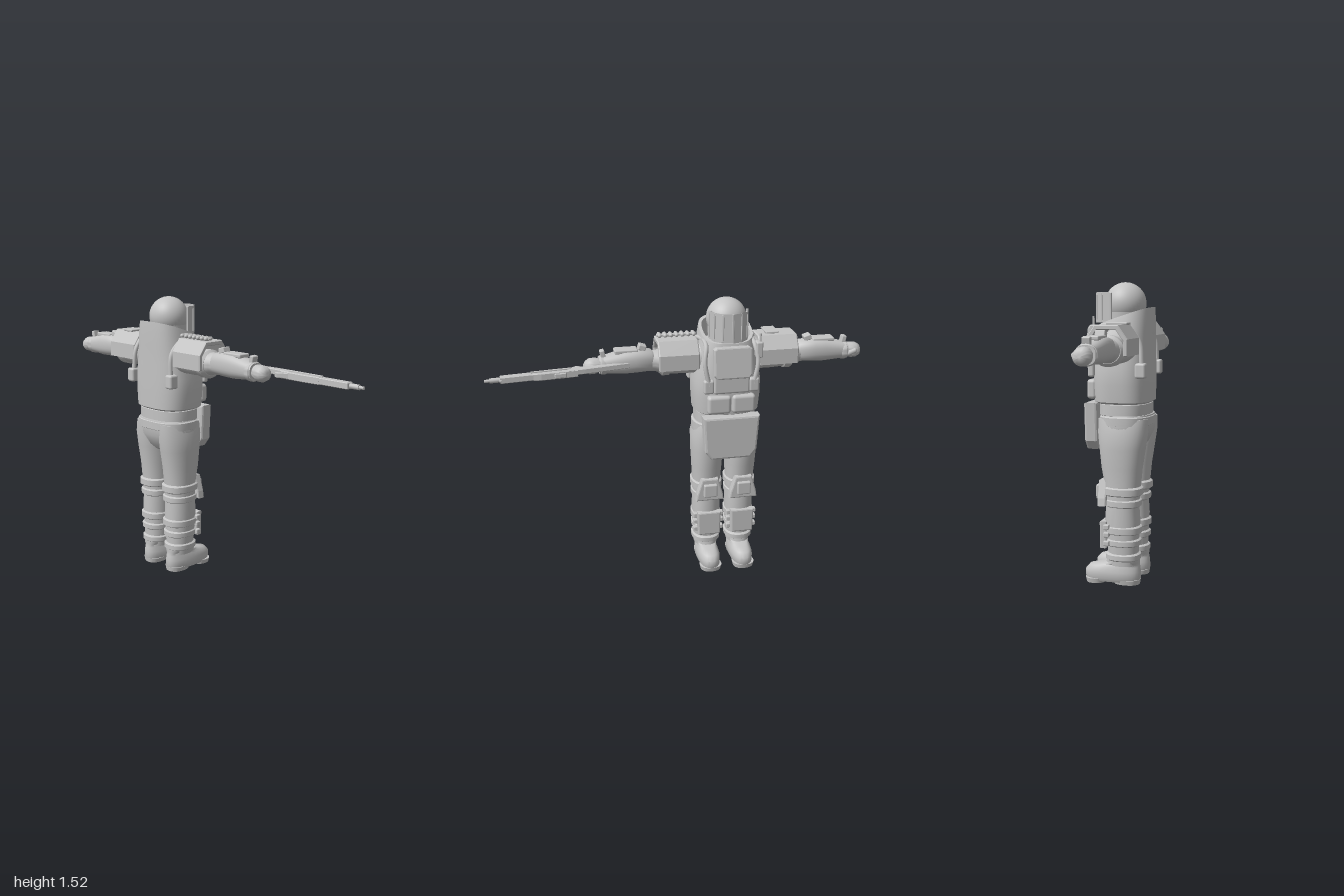
import * as THREE from 'three';
import { toCreasedNormals } from 'three/addons/utils/BufferGeometryUtils.js';
import { RoundedBoxGeometry } from 'three/addons/geometries/RoundedBoxGeometry.js';

const CZ = -0.247; // body centre line
const suit = new THREE.MeshStandardMaterial({ color: 0xc4c4c4, side: THREE.DoubleSide });
suit.name = 'suitGrey';

function add(parent, name, geo, x = 0, y = 0, z = 0, rx = 0, ry = 0, rz = 0) {
  const m = new THREE.Mesh(geo, suit);
  m.name = name;
  m.position.set(x, y, z);
  m.rotation.set(rx, ry, rz);
  parent.add(m);
  return m;
}

// Superellipse sections [y, cx, rx, rz, cz, tilt] joined upwards and capped
function loft(sections, power = 2, n = 32) {
  const pos = [], idx = [];
  for (const [y, cx, rx, rz, cz = 0, tilt = 0] of sections) {
    for (let i = 0; i < n; i++) {
      const a = (i / n) * Math.PI * 2, c = Math.cos(a), s = Math.sin(a);
      const x = cx + rx * Math.sign(c) * Math.abs(c) ** (2 / power);
      pos.push(x, y - tilt * x, cz + rz * Math.sign(s) * Math.abs(s) ** (2 / power));
    }
  }
  const rows = sections.length;
  for (let r = 0; r < rows - 1; r++) for (let i = 0; i < n; i++) {
    const a = r * n + i, b = r * n + (i + 1) % n;
    idx.push(a, a + n, b, b, a + n, b + n);
  }
  for (const r of [0, rows - 1]) {
    const [y, cx, , , cz = 0, tilt = 0] = sections[r], c = pos.length / 3;
    pos.push(cx, y - tilt * cx, cz);
    for (let i = 0; i < n; i++) {
      const a = r * n + i, b = r * n + (i + 1) % n;
      r ? idx.push(c, b, a) : idx.push(c, a, b);
    }
  }
  const g = new THREE.BufferGeometry();
  g.setAttribute('position', new THREE.Float32BufferAttribute(pos, 3));
  g.setIndex(idx);
  return toCreasedNormals(g, 0.75);
}

// Rounded padded band around a limb
const band = (y0, y1, cx, rx, rz, p = 2.3) => loft([
  [y0, cx, rx - 0.012, rz - 0.012], [y0 + 0.008, cx, rx, rz],
  [y1 - 0.008, cx, rx, rz], [y1, cx, rx - 0.012, rz - 0.012]], p);

// Flat outline with bevelled edges; facing +x
function plate(points, depth, bevel = 0.008) {
  const shape = new THREE.Shape(points.map(p => new THREE.Vector2(...p)));
  return new THREE.ExtrudeGeometry(shape, {
    depth, bevelEnabled: bevel > 0, bevelSize: bevel, bevelThickness: bevel, bevelOffset: -bevel, bevelSegments: 2,
  }).rotateY(Math.PI / 2);
}
const box = (w, h, d, r = 0.008) => new RoundedBoxGeometry(w, h, d, 2, r);
const tube = (pts, r) => new THREE.TubeGeometry(
  new THREE.CatmullRomCurve3(pts.map(p => new THREE.Vector3(...p))), 20, r, 8);

function buildLeg(side) {
  const g = new THREE.Group();
  g.name = side > 0 ? 'rightLeg' : 'leftLeg';
  g.position.z = CZ + side * 0.094;
  add(g, 'trouserLeg', loft([
    [0.1, -0.035, 0.075, 0.065], [0.2, -0.033, 0.08, 0.072], [0.33, -0.03, 0.09, 0.078], [0.4, -0.03, 0.085, 0.076],
    [0.5, -0.032, 0.09, 0.077], [0.6, -0.027, 0.105, 0.082], [0.7, -0.03, 0.118, 0.088],
    [0.78, -0.032, 0.128, 0.088], [0.85, -0.032, 0.128, 0.07]], 2.2));
  // Straps and padded rolls
  for (const [a, b, rx, rz] of [[0.125, 0.165, 0.09, 0.078], [0.2, 0.24, 0.092, 0.08],
    [0.262, 0.308, 0.096, 0.083], [0.402, 0.445, 0.094, 0.083], [0.46, 0.508, 0.102, 0.086]])
    add(g, 'legBand', band(a, b, -0.033, rx, rz));
  // Shin guard with buckles
  add(g, 'shinGuard', plate([[-0.062, 0.19], [0.062, 0.19], [0.066, 0.33], [-0.066, 0.33]], 0.022), 0.045);
  for (const y of [0.22, 0.265, 0.305]) for (const s of [-1, 1])
    add(g, 'shinBuckle', box(0.03, 0.025, 0.025, 0.005), 0.035, y, s * 0.072);
  // Knee pad
  add(g, 'kneePad', plate([[-0.078, 0.41], [0.078, 0.41], [0.072, 0.45], [0.045, 0.54], [-0.045, 0.54], [-0.072, 0.45]],
    0.03), 0.045);
  add(g, 'kneePlate', box(0.025, 0.075, 0.075), 0.089, 0.475, 0);
  // Boot
  add(g, 'boot', loft([[0.012, 0.02, 0.138, 0.054], [0.03, 0.021, 0.146, 0.063], [0.065, 0.021, 0.145, 0.063],
    [0.09, 0.012, 0.133, 0.056], [0.102, -0.01, 0.108, 0.052], [0.112, -0.032, 0.086, 0.06],
    [0.14, -0.035, 0.083, 0.064]], 2.4));
  add(g, 'heelSole', loft([[0, -0.053, 0.066, 0.052], [0.025, -0.053, 0.07, 0.058]], 2.4));
  add(g, 'toeSole', loft([[0, 0.11, 0.05, 0.056], [0.025, 0.11, 0.055, 0.062]], 2.4));
  return g;
}

function buildArm(side) {
  const g = new THREE.Group();
  g.name = side > 0 ? 'rightArm' : 'leftArm';
  g.position.set(-0.032, 1.2, -0.25);
  g.rotation.y = side > 0 ? 0 : Math.PI;
  const limb = (name, sections, p) => add(g, name, loft(sections, p).rotateX(Math.PI / 2));
  limb('upperArm', [[0.08, 0, 0.1, 0.1, -0.02], [0.16, 0, 0.09, 0.085, -0.015], [0.24, 0, 0.08, 0.07],
    [0.34, 0, 0.075, 0.065], [0.38, 0, 0.055, 0.055, -0.005], [0.42, 0, 0.053, 0.053, -0.005]]);
  limb('sleeveRoll', [[0.3, 0, 0.07, 0.06], [0.31, 0, 0.082, 0.075], [0.345, 0, 0.082, 0.075], [0.36, 0, 0.068, 0.06]]);
  limb('forearm', [[0.385, 0, 0.045, 0.045, -0.01], [0.4, 0, 0.055, 0.056, -0.012], [0.48, 0, 0.06, 0.063, -0.014],
    [0.54, 0, 0.062, 0.062, -0.012], [0.64, 0, 0.05, 0.046, -0.003], [0.67, 0, 0.048, 0.044]], 2.5);
  limb('cuff', [[0.63, 0, 0.05, 0.045], [0.64, 0, 0.055, 0.05], [0.66, 0, 0.055, 0.05], [0.67, 0, 0.045, 0.04]]);
  // Gloved fist
  limb('hand', [[0.64, 0, 0.033, 0.03], [0.67, 0, 0.036, 0.036], [0.695, 0, 0.044, 0.042, 0.003],
    [0.72, 0, 0.043, 0.041, 0.004], [0.74, 0, 0.033, 0.03, 0.005], [0.75, 0, 0.012, 0.012, 0.005]]);
  add(g, 'thumb', new THREE.CapsuleGeometry(0.014, 0.035, 4, 10), side * 0.038, -0.005, 0.69, 1.2);
  // Shoulder guard: faceted arch over the upper arm
  const o = [[-0.1, -0.02], [-0.1, 0.055], [-0.055, 0.118], [0.055, 0.118], [0.1, 0.055], [0.1, -0.02]];
  const inner = o.map(([x, y]) => [x * 0.86, y > 0 ? y * 0.87 : y]).reverse();
  const arch = new THREE.Shape([...o, ...inner].map(p => new THREE.Vector2(...p)));
  add(g, 'shoulderGuard', new THREE.ExtrudeGeometry(arch, {
    depth: 0.2, bevelEnabled: true, bevelSize: 0.004, bevelThickness: 0.006, bevelSegments: 1 }), 0, 0, 0.165);
  // Elbow and wrist fittings
  add(g, 'elbowTab', box(0.05, 0.03, 0.04, 0.006), 0, 0.083, 0.445, -0.3);
  add(g, 'forearmPlate', box(0.07, 0.02, 0.12, 0.006), 0, 0.07, 0.53);
  add(g, 'wristUnit', box(0.04, 0.04, 0.025, 0.005), 0, 0.06, 0.65, 0.2);
  return g;
}

function buildRifle() {
  const g = new THREE.Group();
  g.name = 'rifle';
  g.position.set(0.045, 1.195, 0.62);
  g.rotation.set(0.02, 0.05, 0);
  const flat = (name, pts, h, y = 0) => add(g, name, new THREE.ExtrudeGeometry(
    new THREE.Shape(pts.map(p => new THREE.Vector2(...p))), {
      depth: h, bevelEnabled: true, bevelSize: 0.003, bevelThickness: 0.003, bevelSegments: 1,
    }).rotateX(Math.PI / 2), 0, y + h / 2, 0);
  flat('stock', [[-0.012, -0.35], [0.002, -0.35], [0.022, -0.12], [0.025, -0.04], [-0.02, -0.04], [-0.012, -0.15]], 0.022, 0.006);
  flat('receiver', [[-0.024, -0.08], [0.025, -0.08], [0.027, 0.1], [0.018, 0.14], [-0.018, 0.14], [-0.024, 0.06]], 0.03);
  flat('handguard', [[-0.018, 0.12], [0.018, 0.12], [0.02, 0.3], [-0.014, 0.3]], 0.026);
  flat('grip', [[-0.022, -0.07], [-0.045, -0.1], [-0.052, -0.085], [-0.022, -0.03]], 0.02);
  flat('magazine', [[0.02, -0.03], [0.035, -0.02], [0.034, 0.03], [0.02, 0.035]], 0.018);
  add(g, 'barrel', new THREE.CylinderGeometry(0.008, 0.008, 0.14, 12), 0.004, 0, 0.31, Math.PI / 2);
  add(g, 'muzzle', new THREE.CylinderGeometry(0.013, 0.013, 0.05, 12), 0.004, 0, 0.33, Math.PI / 2);
  add(g, 'sightRail', box(0.01, 0.012, 0.2, 0.003), 0, 0.019, 0.05);
  add(g, 'frontSight', box(0.025, 0.01, 0.012, 0.003), 0.022, 0, 0.3);
  return g;
}

export function createModel() {
  const model = new THREE.Group();
  model.name = 'armouredTrooper';

  // Torso with raised collar, sloping down towards the front
  add(model, 'torso', loft([
    [0.925, -0.02, 0.13, 0.16], [0.935, -0.02, 0.145, 0.175], [1.02, -0.018, 0.148, 0.182], [1.1, -0.018, 0.148, 0.182],
    [1.18, -0.022, 0.143, 0.168], [1.26, -0.025, 0.14, 0.155, 0, 0.1], [1.31, -0.028, 0.138, 0.147, 0, 0.22],
    [1.348, -0.03, 0.134, 0.138, 0, 0.33], [1.348, -0.03, 0.118, 0.122, 0, 0.33], [1.26, -0.025, 0.112, 0.116]],
  2.7, 48), 0, 0, CZ);
  add(model, 'belt', band(0.86, 0.93, -0.025, 0.128, 0.165, 2.5), 0, 0, CZ);
  add(model, 'hips', loft([[0.69, -0.03, 0.07, 0.1], [0.72, -0.03, 0.1, 0.145], [0.78, -0.032, 0.128, 0.178],
    [0.85, -0.033, 0.132, 0.172], [0.868, -0.033, 0.128, 0.165]], 2.5), 0, 0, CZ);
  add(model, 'hipHem', band(0.81, 0.866, -0.033, 0.134, 0.175, 2.5), 0, 0, CZ);

  // Head, neck and faceted face shield
  add(model, 'helmet', new THREE.SphereGeometry(0.105, 36, 24), -0.02, 1.42, CZ);
  add(model, 'neck', new THREE.CylinderGeometry(0.098, 0.09, 0.17, 32), -0.02, 1.335, CZ);
  const shield = new THREE.Group();
  shield.name = 'faceShield';
  shield.position.set(0.03, 1.4, CZ);
  model.add(shield);
  const facet = (r, h) => new THREE.CylinderGeometry(r, r, h, 6, 1, true, 0, Math.PI).toNonIndexed();
  for (const [name, r, h, y] of [['shieldOuter', 0.1, 0.145, 0], ['shieldInner', 0.092, 0.145, 0],
    ['upperRim', 0.104, 0.014, 0.068], ['lowerRim', 0.104, 0.014, -0.068]]) {
    const f = facet(r, h);
    f.computeVertexNormals();
    add(shield, name, f, 0, y, 0);
  }
  for (let i = 0; i <= 6; i++) {
    const a = (i / 6) * Math.PI;
    add(shield, 'shieldRib', box(0.012, 0.147, 0.012, 0.003), 0.098 * Math.sin(a), 0, 0.098 * Math.cos(a), 0, a);
  }

  // Chest armour, pouches and apron
  add(model, 'chestPlate', plate([[-0.1, -0.06], [-0.085, -0.08], [0.085, -0.08], [0.1, -0.06], [0.1, 0.075],
    [0.085, 0.085], [-0.085, 0.085], [-0.1, 0.075]], 0.03), 0.122, 1.22, CZ, 0, 0, 0.12);
  add(model, 'lowerChestPlate', box(0.05, 0.11, 0.19, 0.012), 0.115, 1.11, CZ);
  for (const s of [-1, 1]) add(model, 'bellyPouch', box(0.05, 0.1, 0.125, 0.018), 0.124, 0.995, CZ + s * 0.065);
  add(model, 'apron', plate([[-0.105, 0.69], [0.105, 0.69], [0.14, 0.735], [0.152, 0.93], [-0.152, 0.93],
    [-0.14, 0.735]], 0.045, 0.012), 0.1, 0, CZ);

  for (const s of [-1, 1]) {
    const z = CZ + s * 0.128;
    // Harness straps ending in small pouches, front and back
    add(model, 'frontStrap', tube([[0.02, 1.32, z], [0.085, 1.3, z], [0.118, 1.22, z + s * 0.012], [0.127, 1.1, z - s * 0.01]], 0.012));
    add(model, 'frontStrapPouch', box(0.035, 0.075, 0.055, 0.012), 0.12, 1.095, z - s * 0.008);
    add(model, 'backStrap', tube([[0.02, 1.32, z], [-0.06, 1.31, z + s * 0.025], [-0.13, 1.24, z + s * 0.02], [-0.145, 1.12, z + s * 0.025]], 0.012));
    add(model, 'backStrapPouch', box(0.055, 0.075, 0.05, 0.012), -0.142, 1.095, z + s * 0.03);
    model.add(buildLeg(s), buildArm(s));
  }

  // Radio, shoulder pouch and shell row
  add(model, 'radio', box(0.05, 0.085, 0.035), 0.095, 1.275, -0.395);
  add(model, 'radioAntenna', new THREE.CylinderGeometry(0.006, 0.006, 0.06, 8), 0.1, 1.33, -0.4);
  add(model, 'shoulderPouch', box(0.105, 0.012, 0.07, 0.004), -0.055, 1.326, -0.495);
  for (let i = 0; i < 7; i++)
    add(model, 'shell', new THREE.CapsuleGeometry(0.011, 0.034, 4, 10), -0.055, 1.334, 0.1 - i * 0.03, 0, 0, Math.PI / 2);
  add(model, 'shellStrap', box(0.022, 0.012, 0.21, 0.004), -0.055, 1.332, 0.01);

  model.add(buildRifle());
  return model;
}
